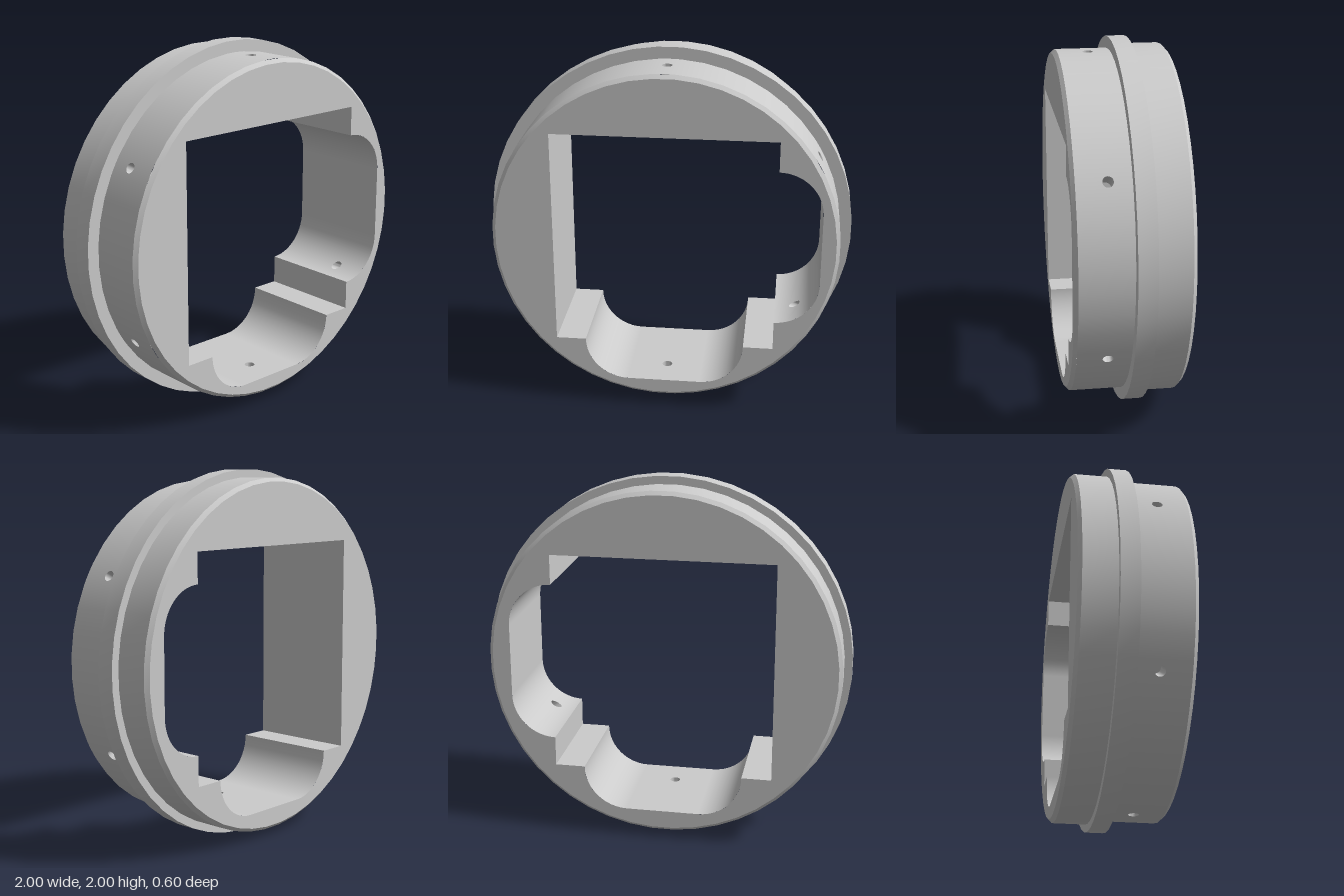
import * as THREE from 'three';
import { mergeGeometries, toCreasedNormals } from 'three/addons/utils/BufferGeometryUtils.js';

const SIDES = 48, STEP = (2 * Math.PI) / SIDES;
const R = 0.935, BACK_R = 0.957, BEVEL = 0.02, HALF = 0.3;
const HOLE_R = 0.028, HOLE_Z = 0.12, HOLE_DEPTH = 0.15, HOLE_SIDES = 20;
const SQ = 0.6, ARC = 0.237, FLAT = 0.2, DEEP = SQ + ARC, WIDE = FLAT + ARC;
const deg = THREE.MathUtils.degToRad;

// Point at distance "along" in direction a, shifted sideways by u
const polar = (a, along, u) => [
  along * Math.cos(a) - u * Math.sin(a), along * Math.sin(a) + u * Math.cos(a)];

// A wall is a path in x/y; hit() gives the path position where a radial line meets it
function arcWall(cx, cy, r, sign) {
  return {
    point: s => [cx + r * Math.cos(sign * s), cy + r * Math.sin(sign * s)],
    hit(a, u) {
      const cd = cx * Math.cos(a) + cy * Math.sin(a);
      const ce = cy * Math.cos(a) - cx * Math.sin(a);
      const [x, y] = polar(a, cd + Math.sqrt(r * r - (u - ce) ** 2), u);
      return sign * Math.atan2(y - cy, x - cx);
    },
  };
}
function lineWall([x0, y0], [x1, y1]) {
  return { point: s => [x0 + (x1 - x0) * s, y0 + (y1 - y0) * s] };
}

// Bend a flat geometry laid out as (path position, z) onto a wall
function bend(geo, wall) {
  const p = geo.attributes.position, n = geo.attributes.normal, e = 1e-4;
  for (let i = 0; i < p.count; i++) {
    const s = p.getX(i), z = p.getY(i);
    const [x, y] = wall.point(s), a = wall.point(s - e), b = wall.point(s + e);
    const tx = b[0] - a[0], ty = b[1] - a[1], l = Math.hypot(tx, ty);
    p.setXYZ(i, x, y, z);
    n.setXYZ(i, ty / l, -tx / l, 0);
  }
  return geo;
}
function strip(wall, s0, s1, z0, z1, segs) {
  const g = new THREE.PlaneGeometry(s1 - s0, z1 - z0, segs, 1);
  g.translate((s0 + s1) / 2, (z0 + z1) / 2, 0);
  return bend(g, wall);
}

// Circle samples as [sideways offset, z]
const ring = Array.from({ length: HOLE_SIDES }, (_, i) => {
  const t = (i / HOLE_SIDES) * 2 * Math.PI;
  return [HOLE_R * Math.cos(t), HOLE_Z + HOLE_R * Math.sin(t)];
});
function pierced(wall, a, s0, s1, z0, z1) {
  const pts = [], N = 4;
  for (let i = 0; i <= N; i++) pts.push(new THREE.Vector2(s0 + ((s1 - s0) * i) / N, z0));
  for (let i = N; i >= 0; i--) pts.push(new THREE.Vector2(s0 + ((s1 - s0) * i) / N, z1));
  const shape = new THREE.Shape(pts);
  shape.holes.push(new THREE.Path(ring.map(([u, z]) => new THREE.Vector2(wall.hit(a, u), z))));
  return bend(new THREE.ShapeGeometry(shape), wall);
}
const rim = (wall, a) => ring.map(([u, z]) => [...wall.point(wall.hit(a, u)), z]);

// Skin a series of equal loops
function loft(loops) {
  const n = HOLE_SIDES, index = [];
  for (let k = 0; k < loops.length - 1; k++) {
    for (let i = 0; i < n; i++) {
      const a = k * n + i, b = k * n + ((i + 1) % n);
      index.push(a, b, a + n, b, b + n, a + n);
    }
  }
  const g = new THREE.BufferGeometry();
  g.setAttribute('position', new THREE.Float32BufferAttribute(loops.flat(2), 3));
  g.setIndex(index);
  return toCreasedNormals(g, 0.7);
}

// Turned profile of [radius, z], running from back to front
function turned(profile) {
  const g = new THREE.LatheGeometry(profile.map(q => new THREE.Vector2(...q)), SIDES, STEP / 2);
  return toCreasedNormals(g.rotateX(Math.PI / 2), 0.5);
}

// Flat end with the opening cut out
function endFace(radius) {
  const shape = new THREE.Shape(Array.from({ length: SIDES }, (_, i) =>
    new THREE.Vector2(radius * Math.cos((i + 0.5) * STEP), radius * Math.sin((i + 0.5) * STEP))));
  const o = new THREE.Path(), q = Math.PI / 2;
  o.moveTo(-SQ, SQ).lineTo(SQ, SQ).lineTo(SQ, WIDE);
  o.absarc(SQ, FLAT, ARC, q, 0, true);
  o.absarc(SQ, -FLAT, ARC, 0, -q, true);
  o.lineTo(SQ, -SQ).lineTo(WIDE, -SQ);
  o.absarc(FLAT, -SQ, ARC, 0, -q, true);
  o.absarc(-FLAT, -SQ, ARC, -q, -2 * q, true);
  o.lineTo(-SQ, -SQ).lineTo(-SQ, SQ);
  shape.holes.push(o);
  return new THREE.ShapeGeometry(shape, 12);
}

export function createModel() {
  const group = new THREE.Group();
  const body = new THREE.Group();
  body.position.y = 1;
  group.add(body);
  const solid = new THREE.MeshStandardMaterial({ color: 0xcccccc });
  const thin = new THREE.MeshStandardMaterial({ color: 0xcccccc, side: THREE.DoubleSide });
  const add = (name, geo, mat = solid) => {
    const m = new THREE.Mesh(geo, mat);
    m.name = name;
    body.add(m);
    return m;
  };

  // Turned outside
  add('backRimAndFlange', turned([[BACK_R - BEVEL, -HALF], [BACK_R, -HALF + BEVEL],
    [BACK_R, -0.1], [1, -0.1], [1, 0], [R, 0]]));
  add('frontBevel', turned([[R, HALF - BEVEL], [R - BEVEL, HALF]]));
  add('frontFace', endFace(R - BEVEL)).position.z = HALF;
  const back = endFace(BACK_R - BEVEL).scale(-1, 1, 1).rotateY(Math.PI);
  // mirrored twice in x, so restore the winding for the rear side
  const idx = back.index.array;
  for (let i = 0; i < idx.length; i += 3) [idx[i], idx[i + 1]] = [idx[i + 1], idx[i]];
  back.computeVertexNormals();
  add('backFace', back).position.z = -HALF;

  // Front outer wall with six radial screw holes
  const angles = [-150, -90, -30, 30, 90, 150].map(deg);
  const outer = arcWall(0, 0, R, 1);
  add('frontWall', mergeGeometries(angles.flatMap(a => [
    strip(outer, a + STEP / 2, a + 7.5 * STEP, 0, HALF - BEVEL, 7),
    pierced(outer, a, a - STEP / 2, a + STEP / 2, 0, HALF - BEVEL),
  ])));

  // Straight walls of the opening, clockwise
  const lines = [
    [[-SQ, -SQ], [-SQ, SQ]], [[-SQ, SQ], [SQ, SQ]], [[SQ, SQ], [SQ, WIDE]],
    [[DEEP, FLAT], [DEEP, -FLAT]], [[SQ, -WIDE], [SQ, -SQ]],
    [[SQ, -SQ], [WIDE, -SQ]], [[-WIDE, -SQ], [-SQ, -SQ]],
  ];
  add('openingWalls', mergeGeometries(lines.map(([p, q]) =>
    strip(lineWall(p, q), 0, 1, -HALF, HALF, 1))));

  // Rounded corners of the side recess, each pierced by a screw hole
  const q = Math.PI / 2;
  const through = new Map();
  for (const [y, a, s0, s1] of [[FLAT, deg(30), -q, 0], [-FLAT, deg(-30), 0, q]]) {
    const w = arcWall(SQ, y, ARC, -1), c = w.hit(a, 0);
    add('sideRecessCorner', mergeGeometries([
      strip(w, s0, c - 0.2, -HALF, HALF, 8),
      pierced(w, a, c - 0.2, c + 0.2, -HALF, HALF),
      strip(w, c + 0.2, s1, -HALF, HALF, 8),
    ]));
    through.set(a, w);
  }

  // Bottom recess: two rounded corners and a pierced floor
  add('bottomRecessCorners', mergeGeometries([
    strip(arcWall(FLAT, -SQ, ARC, -1), 0, q, -HALF, HALF, 12),
    strip(arcWall(-FLAT, -SQ, ARC, -1), q, 2 * q, -HALF, HALF, 12),
  ]));
  const floor = { point: s => [-s, -DEEP], hit: (a, u) => -u };
  add('bottomRecessFloor', pierced(floor, deg(-90), -FLAT, FLAT, -HALF, HALF));
  through.set(deg(-90), floor);

  // Hole linings: open into a recess, otherwise blind
  for (const a of angles) {
    const start = rim(outer, a), w = through.get(a), depth = R - HOLE_DEPTH;
    const loops = w ? [start, rim(w, a)] : [start,
      ring.map(([u, z]) => [...polar(a, depth, u), z]),
      ring.map(() => [...polar(a, depth, 0), HOLE_Z])];
    add('screwHole', loft(loops), thin);
  }
  return group;
}
